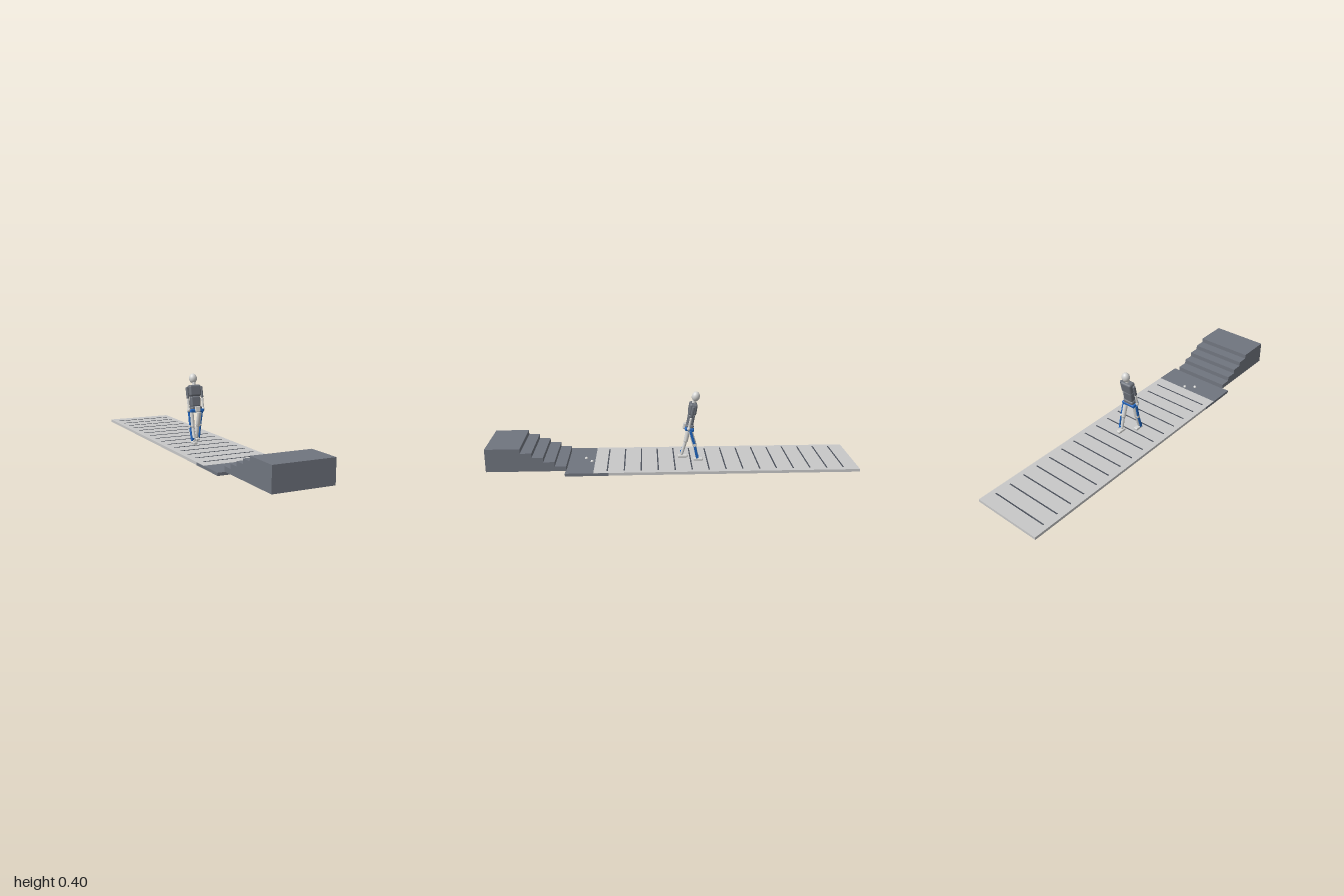
import * as THREE from 'three';
import { RoundedBoxGeometry } from 'three/addons/geometries/RoundedBoxGeometry.js';

const mat = (name, color) => {
  const m = new THREE.MeshStandardMaterial({ color });
  m.name = name;
  return m;
};

export function createModel() {
  const root = new THREE.Group();
  root.name = 'gaitWalkway';
  const walkGrey = mat('walkwayGrey', 0xc8c8c8);
  const slate = mat('slateGrey', 0x70757f);
  const lineGrey = mat('lineGrey', 0x4c515b);
  const shell = mat('bodyLightGrey', 0xd6d6d4);
  const suit = mat('bodyDarkGrey', 0x6c717a);
  const blue = mat('braceBlue', 0x1f66c0);

  const add = (parent, name, geo, material, x = 0, y = 0, z = 0) => {
    const m = new THREE.Mesh(geo, material);
    m.name = name;
    m.position.set(x, y, z);
    parent.add(m);
    return m;
  };
  const box = (w, h, d) => new THREE.BoxGeometry(w, h, d);
  const round = (w, h, d, r) => new RoundedBoxGeometry(w, h, d, 3, r);
  const ball = (r) => new THREE.SphereGeometry(r, 24, 16);

  // place a part with its y axis running from a to b
  const between = (parent, name, a, b, material, makeGeo) => {
    const p = new THREE.Vector3(...a), q = new THREE.Vector3(...b);
    const dir = q.clone().sub(p);
    const m = add(parent, name, makeGeo(dir.length()), material);
    m.position.copy(p).add(q).multiplyScalar(0.5);
    m.quaternion.setFromUnitVectors(new THREE.Vector3(0, 1, 0), dir.normalize());
    return m;
  };
  const limb = (r) => (len) => new THREE.CapsuleGeometry(r, Math.max(len - r, 0.001), 6, 18);
  const bar = (w, d) => (len) => round(w, len, d, 0.002);

  // walkway with cross lines
  add(root, 'walkway', box(0.4, 0.015, 1.43), walkGrey, 0, 0.0085, -0.285);
  for (let i = 0; i < 15; i++) {
    add(root, 'crossLine', box(0.338, 0.002, 0.007), lineGrey, 0, 0.0165, -0.918 + i * 0.0911);
  }

  // landing plate and its two small sensors
  add(root, 'landing', box(0.401, 0.0155, 0.23), slate, 0, 0.00775, 0.465);
  add(root, 'sensor', ball(0.009), shell, -0.025, 0.0165, 0.482);
  add(root, 'sensor', ball(0.009), shell, 0.025, 0.0165, 0.447);

  // staircase as one extruded side profile
  const profile = new THREE.Shape();
  profile.moveTo(-1, 0.0165);
  profile.lineTo(-0.575, 0.0165);
  for (let i = 0; i < 5; i++) {
    const z = 0.575 + i * 0.06, y = 0.0428 + i * 0.025;
    profile.lineTo(-z, y);
    profile.lineTo(i < 4 ? -(z + 0.06) : -1, y);
  }
  profile.closePath();
  const stairGeo = new THREE.ExtrudeGeometry(profile, { depth: 0.326, bevelEnabled: false });
  stairGeo.translate(0, 0, -0.163);
  stairGeo.rotateY(Math.PI / 2);
  add(root, 'stairs', stairGeo, slate);

  // walking figure, facing -z
  const figure = new THREE.Group();
  figure.name = 'walkingFigure';
  root.add(figure);

  // upper body leans forward from the hips
  const upper = new THREE.Group();
  upper.name = 'upperBody';
  upper.position.set(0, 0.197, -0.09);
  upper.rotation.x = -0.17;
  figure.add(upper);
  add(upper, 'hipBelt', round(0.084, 0.019, 0.05, 0.006), blue, 0, 0, 0);
  add(upper, 'pelvis', round(0.066, 0.028, 0.044, 0.01), suit, 0, 0.012, 0);
  add(upper, 'abdomen', round(0.058, 0.06, 0.036, 0.009), suit, 0, 0.052, 0);
  add(upper, 'chest', round(0.07, 0.064, 0.044, 0.011), suit, 0, 0.113, 0);
  add(upper, 'neck', new THREE.CylinderGeometry(0.009, 0.01, 0.025, 20), shell, 0, 0.153, 0);
  add(upper, 'head', ball(1), shell, 0, 0.182, -0.005).scale.set(0.0225, 0.0275, 0.0225);
  add(upper, 'controlPack', round(0.028, 0.032, 0.014, 0.003), shell, 0, 0.008, 0.028);

  for (const s of [-1, 1]) {
    // arms
    const arm = new THREE.Group();
    arm.name = s > 0 ? 'leftArm' : 'rightArm';
    upper.add(arm);
    between(arm, 'upperArm', [s * 0.044, 0.136, 0], [s * 0.044, 0.07, 0.004], suit,
      (len) => round(0.014, len, 0.016, 0.006));
    between(arm, 'forearm', [s * 0.044, 0.068, 0.004], [s * 0.044, 0.014, 0.006], shell, limb(0.0065));
    add(arm, 'hand', ball(1), shell, s * 0.044, 0.007, 0.006).scale.set(0.0095, 0.012, 0.0095);

    // legs in mid stride
    const leg = new THREE.Group();
    leg.name = s > 0 ? 'leftLeg' : 'rightLeg';
    figure.add(leg);
    const x = s * 0.027, bx = s * 0.042;
    const [hip, knee, ankle] = s > 0
      ? [[0.19, -0.095], [0.11, -0.118], [0.033, -0.134]]
      : [[0.19, -0.09], [0.113, -0.074], [0.033, -0.05]];
    between(leg, 'thigh', [x, ...hip], [x, ...knee], shell, limb(0.0125));
    add(leg, 'kneeJoint', ball(0.0125), shell, x, ...knee);
    between(leg, 'shin', [x, ...knee], [x, ...ankle], shell, limb(0.009));
    add(leg, 'foot', round(0.024, 0.015, 0.054, 0.005), shell, x, 0.0235, ankle[1] - 0.006);

    // outer brace bars with a knee hinge
    between(leg, 'thighBrace', [bx, ...hip], [bx, ...knee], blue, bar(0.007, 0.014));
    between(leg, 'shinBrace', [bx, ...knee], [bx, ...ankle], blue, bar(0.007, 0.014));
    const hinge = add(leg, 'braceHinge', new THREE.CylinderGeometry(0.009, 0.009, 0.009, 20), shell, bx, ...knee);
    hinge.rotation.z = Math.PI / 2;
    add(leg, 'braceLink', box(0.014, 0.012, 0.012), blue, s * 0.035, ankle[0] + 0.012, ankle[1]);
  }
  return root;
}
